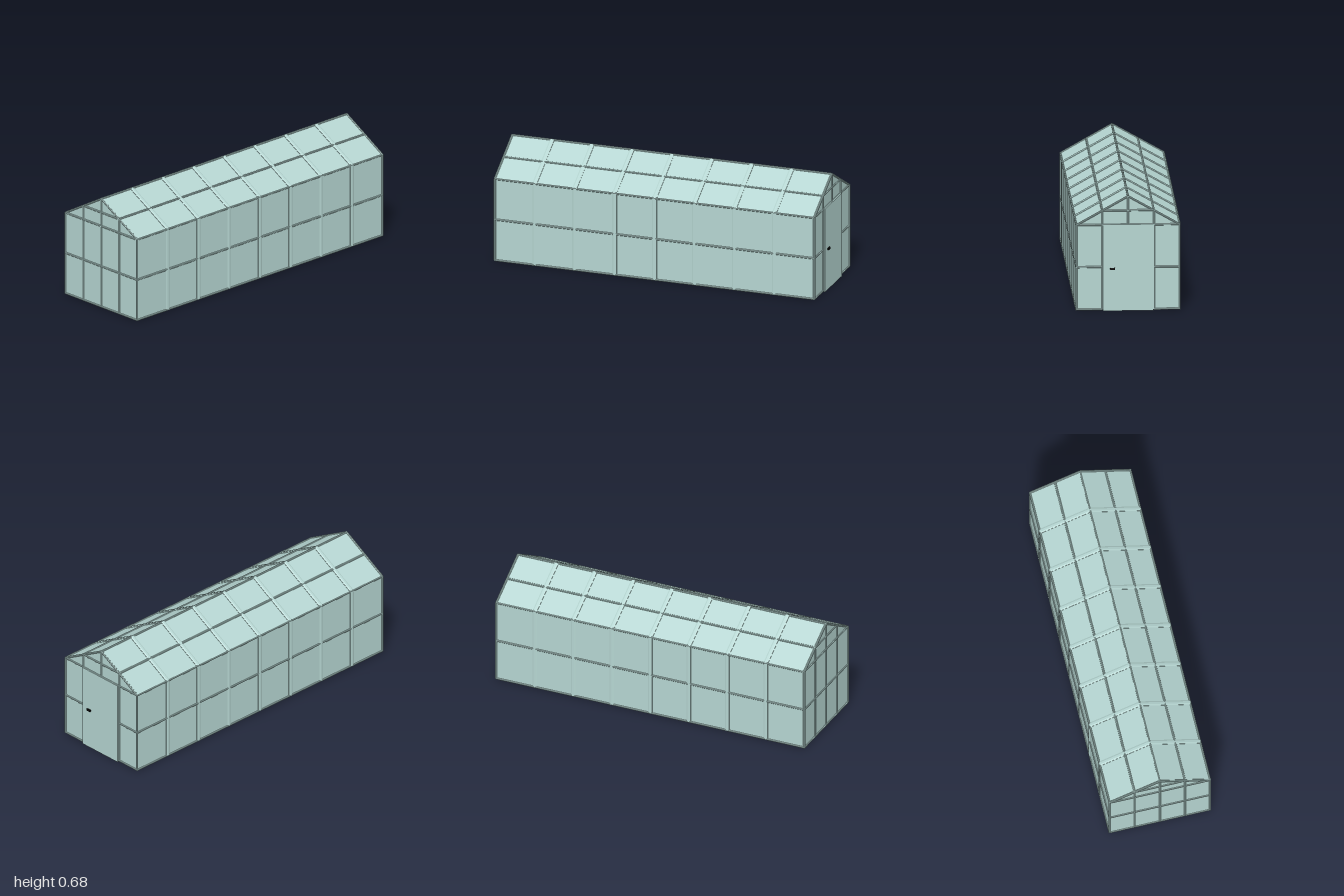
import * as THREE from 'three';

const W = 0.3, EAVE = 0.51, RIDGE = 0.679, BASE = 0.009, MID = 0.26, PURLIN = 0.595;
const Z0 = -0.979, Z1 = 0.988, BAYS = 8;
const V = (x, y, z) => new THREE.Vector3(x, y, z);

export function createModel() {
  const model = new THREE.Group();
  const glass = new THREE.MeshStandardMaterial({ color: 0xb5d5d1, flatShading: true });
  const floorMat = new THREE.MeshStandardMaterial({ color: 0x999999 });
  const black = new THREE.MeshStandardMaterial({ color: 0x0a0a0a });

  const add = (name, geometry, material, parent = model) => {
    const mesh = new THREE.Mesh(geometry, material);
    mesh.name = name;
    parent.add(mesh);
    return mesh;
  };
  const group = (name) => {
    const g = new THREE.Group();
    g.name = name;
    model.add(g);
    return g;
  };

  // chamfered bar from a to b, lying on a surface with the given normal
  const bar = (parent, name, a, b, normal, width = 0.011, depth = 0.011) => {
    const dir = b.clone().sub(a);
    const length = dir.length();
    dir.normalize();
    const r = 0.5 / Math.cos(Math.PI / 8);
    const geo = new THREE.CylinderGeometry(r, r, length, 8);
    geo.rotateY(Math.PI / 8);
    geo.scale(width, 1, depth);
    const side = dir.clone().cross(normal).normalize();
    const out = side.clone().cross(dir);
    geo.applyMatrix4(new THREE.Matrix4().makeBasis(side, dir, out));
    const mid = a.clone().add(b).multiplyScalar(0.5);
    geo.translate(mid.x, mid.y, mid.z);
    return add(name, geo, glass, parent);
  };

  // glazed walls and roof as one gabled shell
  const profile = new THREE.Shape([
    [-W, BASE], [W, BASE], [W, EAVE], [0, RIDGE], [-W, EAVE],
  ].map(([x, y]) => new THREE.Vector2(x, y)));
  const shell = new THREE.ExtrudeGeometry(profile, { depth: Z1 - Z0, bevelEnabled: false });
  shell.translate(0, 0, Z0);
  add('glazing', shell, glass);

  // floor slab
  const floor = add('floor', new THREE.BoxGeometry(W * 2, 0.006, Z1 - Z0), floorMat);
  floor.position.set(0, 0.007, (Z0 + Z1) / 2);

  const roofNormal = (s) => V(s * (RIDGE - EAVE), W, 0).normalize();

  // wall posts and rafters between the bays
  const ribs = group('ribs');
  for (let i = 0; i <= BAYS; i++) {
    const end = i === 0 || i === BAYS;
    const z = Z0 + (Z1 - Z0) * i / BAYS;
    const width = end ? 0.012 : 0.028;
    for (const s of [-1, 1]) {
      bar(ribs, 'wallPost', V(s * W, BASE, z), V(s * W, EAVE, z), V(s, 0, 0), width);
      bar(ribs, 'rafter', V(s * W, EAVE, z), V(0, RIDGE, z), roofNormal(s), width);
    }
  }

  // lengthwise rails, purlins and ridge
  const rails = group('rails');
  for (const s of [-1, 1]) {
    for (const y of [BASE, MID, EAVE]) {
      bar(rails, 'wallRail', V(s * W, y, Z0), V(s * W, y, Z1), V(s, 0, 0));
    }
    bar(rails, 'purlin', V(s * W / 2, PURLIN, Z0), V(s * W / 2, PURLIN, Z1), roofNormal(s));
  }
  bar(rails, 'ridge', V(0, RIDGE, Z0), V(0, RIDGE, Z1), V(0, 1, 0));

  // gable end bars; the back leaves an opening for the door
  const gable = (name, z, facing, hasDoor) => {
    const g = group(name);
    const n = V(0, 0, facing);
    for (const s of [-1, 1]) {
      bar(g, 'gablePost', V(s * W / 2, BASE, z), V(s * W / 2, PURLIN, z), n);
      if (hasDoor) {
        bar(g, 'sideRail', V(s * W, MID, z), V(s * W / 2, MID, z), n);
        bar(g, 'sideSill', V(s * W, BASE, z), V(s * W / 2, BASE, z), n);
      }
    }
    bar(g, 'centrePost', V(0, hasDoor ? EAVE : BASE, z), V(0, RIDGE, z), n);
    if (!hasDoor) {
      for (const y of [BASE, MID]) bar(g, 'gableRail', V(-W, y, z), V(W, y, z), n);
    }
    bar(g, 'tieBeam', V(-W, EAVE, z), V(W, EAVE, z), n);
    bar(g, 'collarBeam', V(-W / 2, PURLIN, z), V(W / 2, PURLIN, z), n);
  };
  gable('frontGable', Z1, 1, false);
  gable('backGable', Z0, -1, true);

  // door with its handle
  const door = group('door');
  const leaf = add('doorLeaf', new THREE.BoxGeometry(0.292, 0.512, 0.008), glass, door);
  leaf.position.set(0, 0.258, -0.987);
  const handle = add('doorHandle', new THREE.BoxGeometry(0.028, 0.011, 0.009), black, door);
  handle.position.set(0.09, 0.252, -0.9955);

  return model;
}
